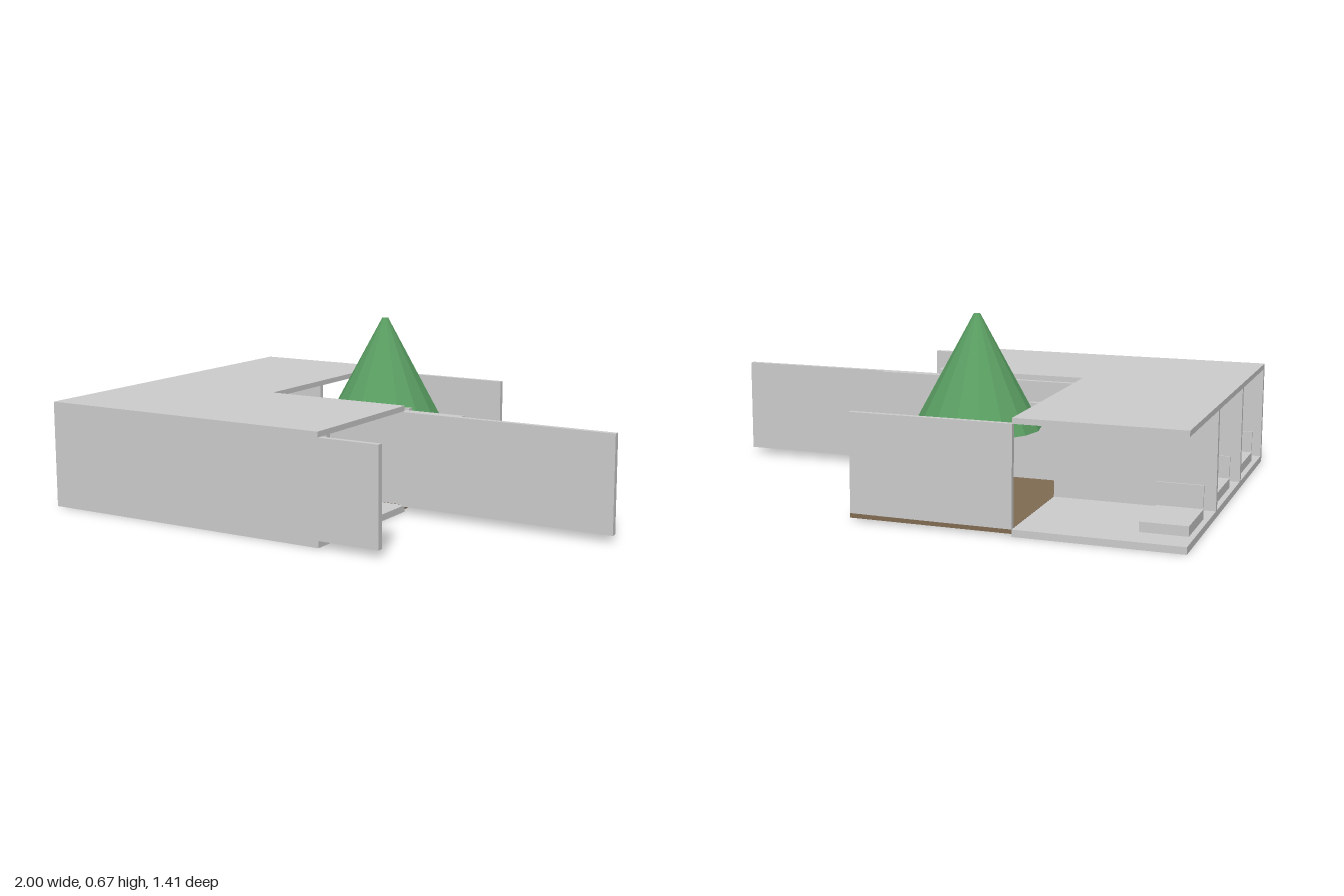
import * as THREE from 'three';

export function createModel() {
  const house = new THREE.Group();
  house.name = 'courtyardHouse';

  const mat = (name, color) => {
    const m = new THREE.MeshStandardMaterial({ color });
    m.name = name;
    return m;
  };
  const grey = mat('plaster grey', 0xcccccc);
  const brown = mat('earth brown', 0x806b52);
  const green = mat('leaf green', 0x5a9e62);
  green.flatShading = true;

  // Box given by its limits along each axis
  const block = (name, [x0, x1], [y0, y1], [z0, z1], material = grey, parent = house) => {
    const mesh = new THREE.Mesh(new THREE.BoxGeometry(x1 - x0, y1 - y0, z1 - z0), material);
    mesh.position.set((x0 + x1) / 2, (y0 + y1) / 2, (z0 + z1) / 2);
    mesh.name = name;
    parent.add(mesh);
    return mesh;
  };

  // L-shaped slab around the courtyard corner
  const slab = (name, y0, y1) => {
    const s = new THREE.Shape([[-1, -0.705], [0.17, -0.705], [0.17, -0.118],
      [-0.415, -0.118], [-0.415, 0.705], [-1, 0.705]].map(([x, y]) => new THREE.Vector2(x, y)));
    const g = new THREE.ExtrudeGeometry(s, { depth: y1 - y0, bevelEnabled: false });
    g.rotateX(-Math.PI / 2);
    g.translate(0, y0, 0);
    const mesh = new THREE.Mesh(g, grey);
    mesh.name = name;
    house.add(mesh);
  };
  slab('floorSlab', 0, 0.025);
  slab('roofSlab', 0.38, 0.4);

  // Walls standing between floor and roof
  const wallY = [0.025, 0.38];
  block('frontWall', [-1, 0.405], wallY, [0.683, 0.705]);
  block('courtyardWall', [-0.415, 0.405], wallY, [0.096, 0.118]);
  block('longWall', [0.17, 1], wallY, [0.118, 0.14]);
  block('backWall', [-0.415, 0.17], wallY, [-0.705, -0.685]);
  for (const z of [-0.228, 0.228]) {
    block('roomDivider', [-1, -0.415], wallY, [z - 0.01, z + 0.01]);
  }

  // Raised screens in the courtyard and the front wing
  for (const z of [-0.13, 0.46]) {
    block('screen', [-0.42, 0.055], [0.06, 0.343], [z - 0.011, z + 0.011]);
  }

  // One bed per room
  for (const z of [-0.47, 0, 0.47]) {
    const bed = new THREE.Group();
    bed.name = 'bed';
    house.add(bed);
    block('mattress', [-0.98, -0.815], [0.025, 0.06], [z - 0.115, z + 0.115], grey, bed);
    block('headboard', [-0.98, -0.815], [0.066, 0.143], [z + 0.111, z + 0.118], grey, bed);
  }

  // Living room counter and table
  block('counter', [-0.08, 0.12], [0.025, 0.125], [0.53, 0.65]);
  const table = new THREE.Group();
  table.name = 'table';
  house.add(table);
  block('tableTop', [-0.28, -0.16], [0.11, 0.116], [0.368, 0.452], grey, table);
  block('tableBox', [-0.25, -0.19], [0.05, 0.105], [0.385, 0.443], grey, table);
  for (const x of [-0.27, -0.17]) {
    for (const z of [0.376, 0.446]) {
      block('tableLeg', [x - 0.003, x + 0.003], [0.025, 0.11], [z - 0.003, z + 0.003], grey, table);
    }
  }

  // Courtyard ground
  block('courtyardGround', [-0.415, 0.17], [0.01, 0.026], [-0.705, 0.118], brown);

  // Tree
  const tree = new THREE.Group();
  tree.name = 'tree';
  tree.position.set(-0.12, 0, -0.236);
  house.add(tree);
  const trunk = new THREE.Mesh(new THREE.CylinderGeometry(0.011, 0.014, 0.27, 12), brown);
  trunk.position.y = 0.155;
  trunk.name = 'trunk';
  const crown = new THREE.Mesh(new THREE.CylinderGeometry(0.012, 0.235, 0.413, 16), green);
  crown.position.y = 0.4665;
  crown.name = 'crown';
  tree.add(trunk, crown);

  return house;
}
